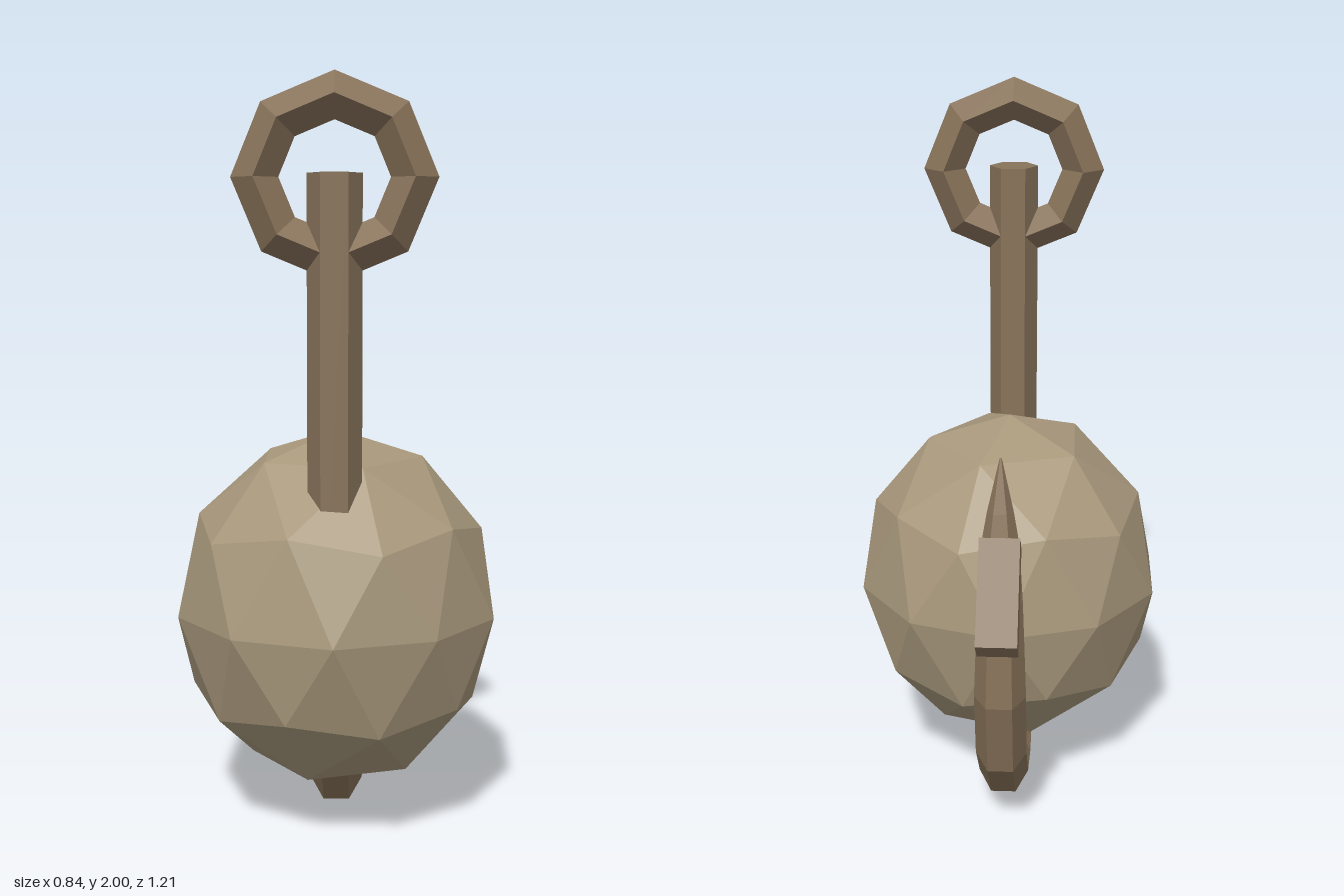
import * as THREE from 'three';

const weightMat = new THREE.MeshStandardMaterial({ color: 0xa8987c, flatShading: true });
weightMat.name = 'paleStone';
const hookMat = new THREE.MeshStandardMaterial({ color: 0x88735a, flatShading: true });
hookMat.name = 'brownMetal';

// Six-sided tube through stations [z, y, radius] lying in the x = 0 plane
function hexTube(stations) {
  const n = stations.length, sides = 6, pos = [], idx = [];
  stations.forEach(([z, y, r], i) => {
    const a = stations[Math.max(i - 1, 0)], b = stations[Math.min(i + 1, n - 1)];
    const t = new THREE.Vector2(b[0] - a[0], b[1] - a[1]).normalize();
    for (let k = 0; k < sides; k++) {
      const ang = (k / sides) * Math.PI * 2, s = r * Math.sin(ang);
      pos.push(r * Math.cos(ang), y + t.x * s, z - t.y * s);
    }
  });
  for (let i = 0; i < n - 1; i++) {
    for (let k = 0; k < sides; k++) {
      const a = i * sides + k, b = i * sides + (k + 1) % sides;
      idx.push(a, b, b + sides, a, b + sides, a + sides);
    }
  }
  // end caps
  const e = (n - 1) * sides;
  for (let k = 1; k < sides - 1; k++) idx.push(0, k + 1, k, e, e + k, e + k + 1);
  const g = new THREE.BufferGeometry();
  g.setAttribute('position', new THREE.Float32BufferAttribute(pos, 3));
  g.setIndex(idx);
  g.computeVertexNormals();
  return g;
}

export function createModel() {
  const group = new THREE.Group();
  const add = (name, geometry, material) => {
    const mesh = new THREE.Mesh(geometry, material);
    mesh.name = name;
    group.add(mesh);
    return mesh;
  };

  // Faceted weight, turned so one corner points straight up
  const ball = new THREE.IcosahedronGeometry(1, 1);
  ball.rotateZ(-Math.atan(2 / (1 + Math.sqrt(5))));
  ball.scale(0.442, 0.49, 0.46);
  add('weight', ball, weightMat).position.set(0, 0.587, 0.145);

  // Shank, bend and tapering point in one sweep
  const path = [[0.4, 1.75, 0.07]];
  for (let i = 0; i <= 6; i++) {
    const a = (i / 6) * Math.PI;
    path.push([-0.005 + 0.405 * Math.cos(a), 0.466 - 0.405 * Math.sin(a), 0.07]);
  }
  path.push([-0.4, 0.74, 0.06], [-0.385, 0.9, 0.05], [-0.373, 0.985, 0.035], [-0.352, 1.125, 0.003]);
  add('hook', hexTube(path), hookMat);

  // Eye at the top of the shank
  add('eyeRing', new THREE.TorusGeometry(0.2, 0.06, 4, 8), hookMat).position.set(0, 1.74, 0.4);

  // Barb slanting down and back from the point
  const barb = add('barb', new THREE.BoxGeometry(0.107, 0.287, 0.106), hookMat);
  barb.position.set(0, 0.788, -0.471);
  barb.rotation.x = 0.695;

  return group;
}
